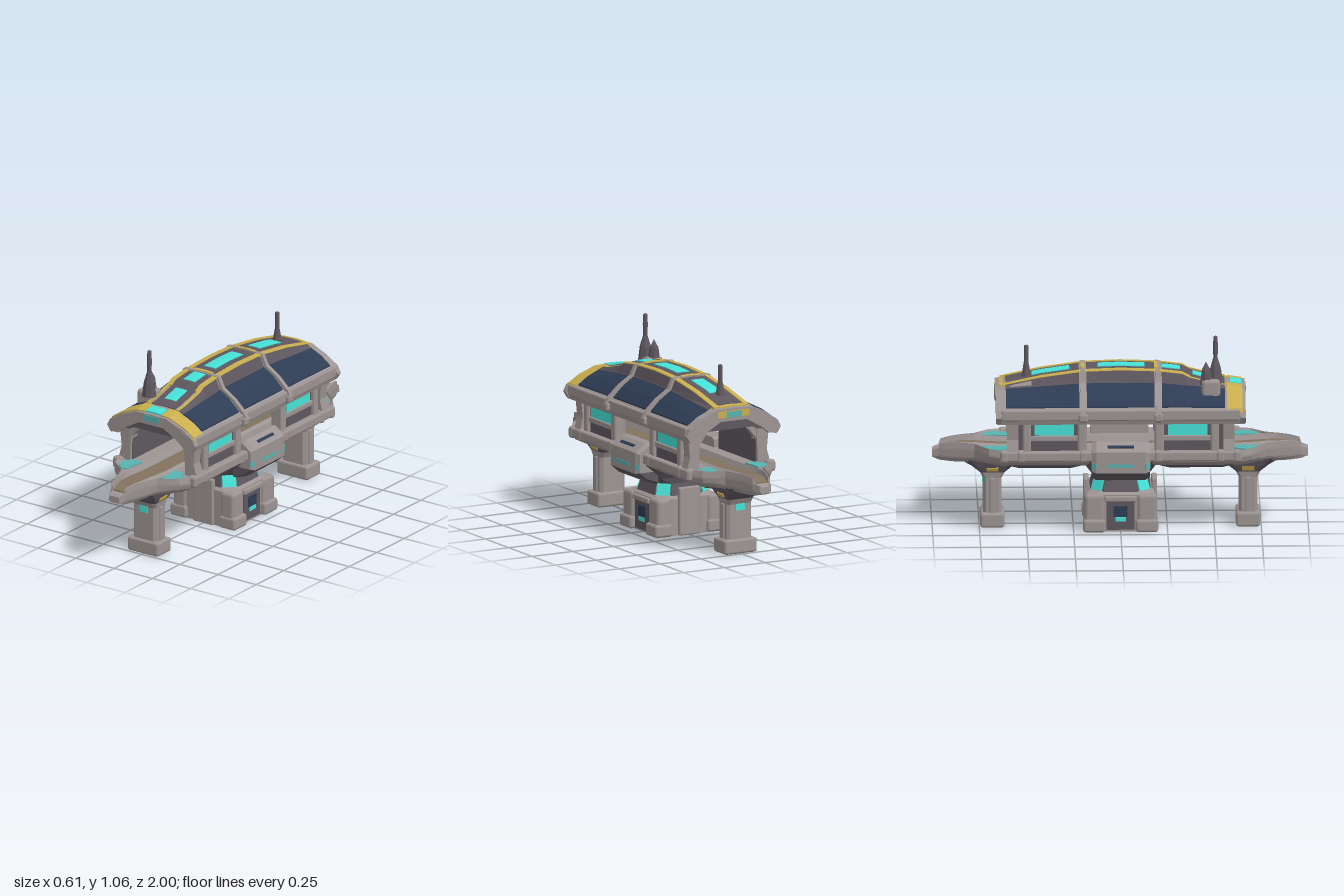
import * as THREE from 'three';
import { RoundedBoxGeometry } from 'three/addons/geometries/RoundedBoxGeometry.js';

const mat = (name, color) => new THREE.MeshStandardMaterial({ name, color });
const lerp = THREE.MathUtils.lerp;

// Value from a table of [position, value] pairs, linear between them
function table(rows, t) {
  let i = 1;
  while (i < rows.length - 1 && rows[i][0] < t) i++;
  const [a, va] = rows[i - 1], [b, vb] = rows[i];
  return lerp(va, vb, THREE.MathUtils.clamp((t - a) / (b - a), 0, 1));
}

// Flat-faced solid through matching rings; the ends close by pairing opposite points
function loft(rings) {
  const tris = [], n = rings[0].length;
  const quad = (a, b, c, d) => tris.push(a, b, c, a, c, d);
  for (let k = 0; k < rings.length - 1; k++)
    for (let i = 0; i < n; i++) {
      const j = (i + 1) % n;
      quad(rings[k][i], rings[k][j], rings[k + 1][j], rings[k + 1][i]);
    }
  const first = rings[0], last = rings[rings.length - 1];
  for (let i = 0; i < n / 2 - 1; i++) {
    quad(first[i], first[n - 1 - i], first[n - 2 - i], first[i + 1]);
    quad(last[i], last[i + 1], last[n - 2 - i], last[n - 1 - i]);
  }
  // Turn the faces outward
  let volume = 0;
  const v = tris.map(p => new THREE.Vector3(...p));
  for (let i = 0; i < v.length; i += 3) volume += v[i].dot(v[i + 1].clone().cross(v[i + 2]));
  if (volume < 0) for (let i = 0; i < v.length; i += 3) [v[i + 1], v[i + 2]] = [v[i + 2], v[i + 1]];
  const g = new THREE.BufferGeometry().setFromPoints(v);
  g.computeVertexNormals();
  return g;
}

// Mirrored section at z: upper and lower halves run from the edge to the middle
const section = (upper, lower, z) => [
  ...upper.map(([x, y]) => [-x, y, z]), ...upper.slice().reverse().map(([x, y]) => [x, y, z]),
  ...lower.map(([x, y]) => [x, y, z]), ...lower.slice().reverse().map(([x, y]) => [-x, y, z])];

// Chamfered rectangle at height y
const oct = (y, hx, hz, c, cz = 0) => [
  [-hx + c, hz], [hx - c, hz], [hx, hz - c], [hx, -hz + c],
  [hx - c, -hz], [-hx + c, -hz], [-hx, -hz + c], [-hx, hz - c]].map(([x, z]) => [x, y, z + cz]);

// Roof: crown and shoulder heights along z, and surface height across x
const CROWN = [[-.66, .78], [-.42, .832], [-.2, .863], [0, .87], [.2, .863], [.33, .848], [.37, .826], [.5, .792], [.66, .77]];
const SHOULDER = [[-.66, .765], [-.2, .80], [.2, .80], [.66, .755]];
const BREAKS = [.28, .265, .2, .13, .105, .01];
function roofY(x, z) {
  const c = table(CROWN, z), s = Math.min(table(SHOULDER, z), c - .01);
  return table([[0, c], [.105, c - .006], [.13, s], [.2, lerp(s, .685, .48) + .008], [.265, .69], [.28, .66]], x);
}

export function createModel() {
  const grey = mat('stone grey', 0x9c9492), dark = mat('dark metal', 0x5e575f);
  const blue = mat('navy panel', 0x2e3c54), yellow = mat('ochre', 0xc9ae4e);
  const cyan = mat('glowing cyan', 0x46e2d8), brown = mat('track brown', 0x83725f);
  const teal = mat('muted teal', 0x56b3b0);
  const model = new THREE.Group();
  const add = (name, geometry, material) => {
    const m = new THREE.Mesh(geometry, material);
    m.name = name;
    model.add(m);
    return m;
  };
  const box = (name, material, w, h, d, x, y, z, r = 0) => {
    const g = r ? new RoundedBoxGeometry(w, h, d, 1, r) : new THREE.BoxGeometry(w, h, d);
    const m = add(name, g, material);
    m.position.set(x, y, z);
    return m;
  };
  const sides = [1, -1];

  // Roof shell
  const zs = CROWN.map(r => r[0]);
  const inner = z => BREAKS.map(x => [x * .94, Math.min(roofY(x, z) - .05, .71)]);
  add('roofShell', loft(zs.map(z => section(BREAKS.map(x => [x, roofY(x, z)]), inner(z), z))), grey);

  // Thin plate lying on the roof between x0..x1 and z0..z1; a negative x0 spans the middle
  function roofPlate(name, material, x0, x1, z0, z1, lift = .007) {
    const xs = [x0, ...BREAKS.slice().reverse().filter(b => b > x0 && b < x1), x1];
    const stations = [z0, ...zs.filter(z => z > z0 && z < z1), z1];
    for (const s of x0 < 0 ? [1] : sides) {
      const rings = stations.map(z => [
        ...xs.map(x => [s * x, roofY(Math.abs(x), z) + lift, z]),
        ...xs.slice().reverse().map(x => [s * x, roofY(Math.abs(x), z) - .002, z])]);
      add(name, loft(rings), material);
    }
  }
  for (const [a, b] of [[.22, .555], [-.18, .18], [-.61, -.22]]) {
    roofPlate('roofPanel', blue, .135, .255, a, b);
    roofPlate('spineSide', dark, .106, .133, a, b);
    roofPlate('spineTop', dark, -.075, .075, a, b, .005);
  }
  roofPlate('spineStripe', yellow, .076, .107, -.64, .37, .008);
  roofPlate('spineStripe', yellow, .09, .107, .37, .56, .008);
  roofPlate('frontBand', yellow, .055, .275, .565, .648);
  roofPlate('backBand', yellow, -.075, .075, -.645, -.625);
  roofPlate('frontSkylight', cyan, -.05, .05, .585, .645, .009);
  for (const [a, b] of [[.385, .49], [.22, .318], [-.12, .13], [-.47, -.27]])
    roofPlate('skylight', cyan, -.037, .037, a, b, .009);
  for (const z of [-.2, .19]) roofPlate('spineCrossbar', yellow, -.06, .06, z - .01, z + .01, .012);

  // Raised roof ribs
  for (const z of [-.2, .2]) add('roofRib', loft([z - .012, z + .012].map(q => section(
    BREAKS.map(x => [x * 1.05 + .004, roofY(x, q) + .009]),
    BREAKS.map(x => [x * .93, Math.min(roofY(x, q), .765) - .05]), q))), grey);

  // Angular end arches with signs
  for (const e of sides) {
    const lift = e < 0 ? .008 : 0;
    add('endArch', loft([.635, .664].map(z => section(
      [[.288, .65], [.268, .688], [.2, .722 + lift], [.1, .768 + lift]],
      [[.268, .617], [.215, .62], [.18, .652], [.08, .71]], e * z))), grey);
    box('endSign', teal, .095, .032, .006, 0, .746, e * .665);
  }
  box('backSignBorder', yellow, .19, .036, .004, 0, .748, -.665);
  for (const s of sides) {
    for (const z of [-.2, .2]) box('eaveBracket', grey, .05, .045, .05, s * .275, .652, z, .012);
    box('eave', grey, .03, .06, 1.27, s * .265, .662, 0, .01);
  }

  // Hall ceiling, walls, pillars and side windows
  add('ceiling', loft([-.625, .625].map(z => section(
    [[.255, .665], [.2, .68], [.1, .705], [.01, .705]],
    [[.245, .64], [.17, .64], [.14, .655], [.01, .655]], z))), dark);
  for (const s of sides) for (const e of sides) {
    box('hallWall', dark, .05, .22, .4, s * .2, .56, e * .39);
    box('windowFrame', grey, .02, .03, .3, s * .226, .525, e * .36, .006);
    box('sideWindow', cyan, .008, .075, .21, s * .228, .58, e * .355);
    for (const [z, d] of [[.205, .05], [.5, .045]])
      box('hallPillar', grey, .07, .22, d, s * .212, .56, e * z, .012);
    // End pillar leaning in, with a brace under the arch
    add('endPillar', loft([[.44, .18, .258], [.52, .178, .235], [.66, .17, .25]].map(([y, a, b]) =>
      [[s * a, y, e * .545], [s * b, y, e * .545], [s * b, y, e * .605], [s * a, y, e * .605]])), grey);
    add('archBrace', loft([.56, .6].map(z =>
      [[s * .19, .58, e * z], [s * .168, .59, e * z], [s * .125, .642, e * z], [s * .19, .65, e * z]])), grey);
  }

  // Deck with rims and a track trough, tapering to a low docking nose at both ends
  const HALF = [[.64, .245, .46, .365], [.7, .215, .463, .37], [.735, .17, .465, .37], [.775, .118, .468, .362],
    [.85, .09, .468, .358], [.9, .073, .465, .358], [.955, .055, .455, .362], [.965, .05, .425, .363], [1, .036, .415, .375]];
  const deck = [...HALF.map(([z, ...r]) => [-z, ...r]).reverse(), ...HALF];
  const bedOf = w => Math.min(.062, w * .7);
  add('deck', loft(deck.map(([z, w, t, b]) => {
    const bed = bedOf(w), lip = Math.min(.095, lerp(bed, w, .5));
    const drop = Math.abs(z) > .96 ? .004 : .032;
    return section(
      [[w, t - .03], [w * .97, t], [lerp(lip, w, .8), t - .012], [lip, t - .012], [lerp(bed, lip, .5), t], [bed, t - drop]],
      [[w, t - .04], [w * .96, b + .03], [w * .92, b + .02], [w * .75, b], [w * .5, b], [w * .3, b]], z);
  })), grey);
  add('track', loft(deck.slice(2, -2).map(([z, w, t]) => {
    const bed = bedOf(w);
    return section([[bed, t - .026], [bed / 2, t - .026]], [[bed, t - .034], [bed / 2, t - .034]], z);
  })), brown);
  for (const s of sides) {
    box('sideRail', grey, .045, .055, 1.26, s * .245, .432, 0, .012);
    for (const e of sides) {
      for (const z of [.2, .53, .62]) box('railKnuckle', grey, .055, .065, .045, s * .245, .432, e * z, .015);
      add('noseLight', loft([[.6, .105, .17], [.66, .115, .2], [.7, .115, .185], [.73, .11, .152]].map(([z, a, b]) =>
        [[s * a, .457, e * z], [s * b, .457, e * z], [s * b, .449, e * z], [s * a, .449, e * z]])), teal);
    }
  }

  // End legs with flared heads
  for (const e of sides) {
    const z = e * .68;
    box('legFoot', grey, .2, .08, .13, 0, .04, z, .014);
    add('leg', loft([oct(.06, .076, .05, .015, z), oct(.27, .076, .05, .015, z), oct(.3, .08, .066, .015, z)]), grey);
    add('legHead', loft([oct(.3, .08, .066, .015, z), oct(.335, .095, .11, .03, z), oct(.375, .108, .2, .085, z)]), dark);
    box('legLight', cyan, .055, .036, .006, 0, .253, z + e * .05);
    for (const s of sides) {
      box('legMark', yellow, .009, .022, .065, s * .089, .32, z).rotation.z = -s * .42;
      box('legRib', grey, .02, .2, .03, s * .074, .17, z, .006);
    }
  }

  // Central base: core, corner buttresses and lit neck
  add('baseCore', loft([oct(0, .18, .18, .03), oct(.2, .18, .18, .03), oct(.22, .15, .15, .06)]), grey);
  add('neck', loft([oct(.2, .165, .165, .07), oct(.28, .14, .14, .06)]), dark);
  add('lowerHull', loft([oct(.27, .14, .14, .06), oct(.31, .2, .15, .05), oct(.4, .25, .21, .05)]), dark);
  for (const e of sides) {
    add('hullKeel', loft([oct(.33, .1, .16, .02, e * .4), oct(.375, .2, .26, .04, e * .4)]), dark);
    box('basePier', grey, .13, .26, .03, 0, .13, e * .182, .008);
    for (const s of sides) {
      box('buttress', grey, .085, .2, .105, s * .155, .105, e * .14, .02);
      box('buttressFoot', grey, .105, .07, .12, s * .16, .035, e * .14, .015);
      // Light on the sloping corner of the neck
      const light = box('neckLight', cyan, .075, .075, .009, s * .1215, .24, e * .1215);
      light.rotation.set(-.34, Math.atan2(s, e), 0, 'YXZ');
    }
  }
  for (const s of sides) {
    box('baseRecess', dark, .006, .17, .15, s * .18, .095, 0);
    box('basePanel', blue, .009, .06, .075, s * .182, .11, 0);
    box('baseLight', cyan, .009, .022, .055, s * .184, .068, 0);
    box('baseLintel', grey, .03, .03, .17, s * .183, .18, 0, .008);

    // Side pods with dark undersides
    const podPart = (name, points, material) => add(name, loft(
      [[-.155, .88], [-.13, 1], [.13, 1], [.155, .88]].map(([z, k]) =>
        points.map(([x, y]) => [s * (.17 + (x - .17) * k), .4 + (y - .4) * k, z]))), material);
    podPart('sidePod', [[.17, .5], [.24, .51], [.3, .465], [.3, .35], [.235, .35], [.17, .35]], grey);
    podPart('podUnderside', [[.17, .35], [.3, .35], [.25, .308], [.17, .28]], dark);
    box('podLight', teal, .006, .018, .14, s * .3, .391, 0);
    box('podPanel', blue, .008, .016, .14, s * .271, .488, 0).rotation.z = s * .93;
    for (const e of sides) {
      // Light on the bevel at each pod end
      const light = box('podEndLight', teal, .028, .032, .006, s * .292, .386, e * .1425);
      light.rotation.y = s * e * 1.01;
    }
  }
  for (const e of sides) box('podFaceLight', teal, .034, .032, .006, -.266, .386, e * .154);

  // Front mast on its plinth, and the rear mast
  const mast = (name, points, x, z) => {
    const g = new THREE.LatheGeometry(points.map(p => new THREE.Vector2(...p)), 7).toNonIndexed();
    g.computeVertexNormals();
    add(name, g, dark).position.set(x, 0, z);
  };
  box('mastPlinth', grey, .1, .11, .1, -.145, .775, .48, .018);
  mast('frontMast', [[.04, .8], [.03, .88], [.018, .92], [.012, .94], [.014, 1.0], [.011, 1.055], [0, 1.06]], -.125, .505);
  mast('frontMastSpur', [[.035, .8], [.024, .88], [.012, .9], [0, .925]], -.15, .455);
  mast('rearMast', [[.03, .79], [.02, .85], [.013, .89], [.012, .98], [0, .985]], -.01, -.5);
  return model;
}
